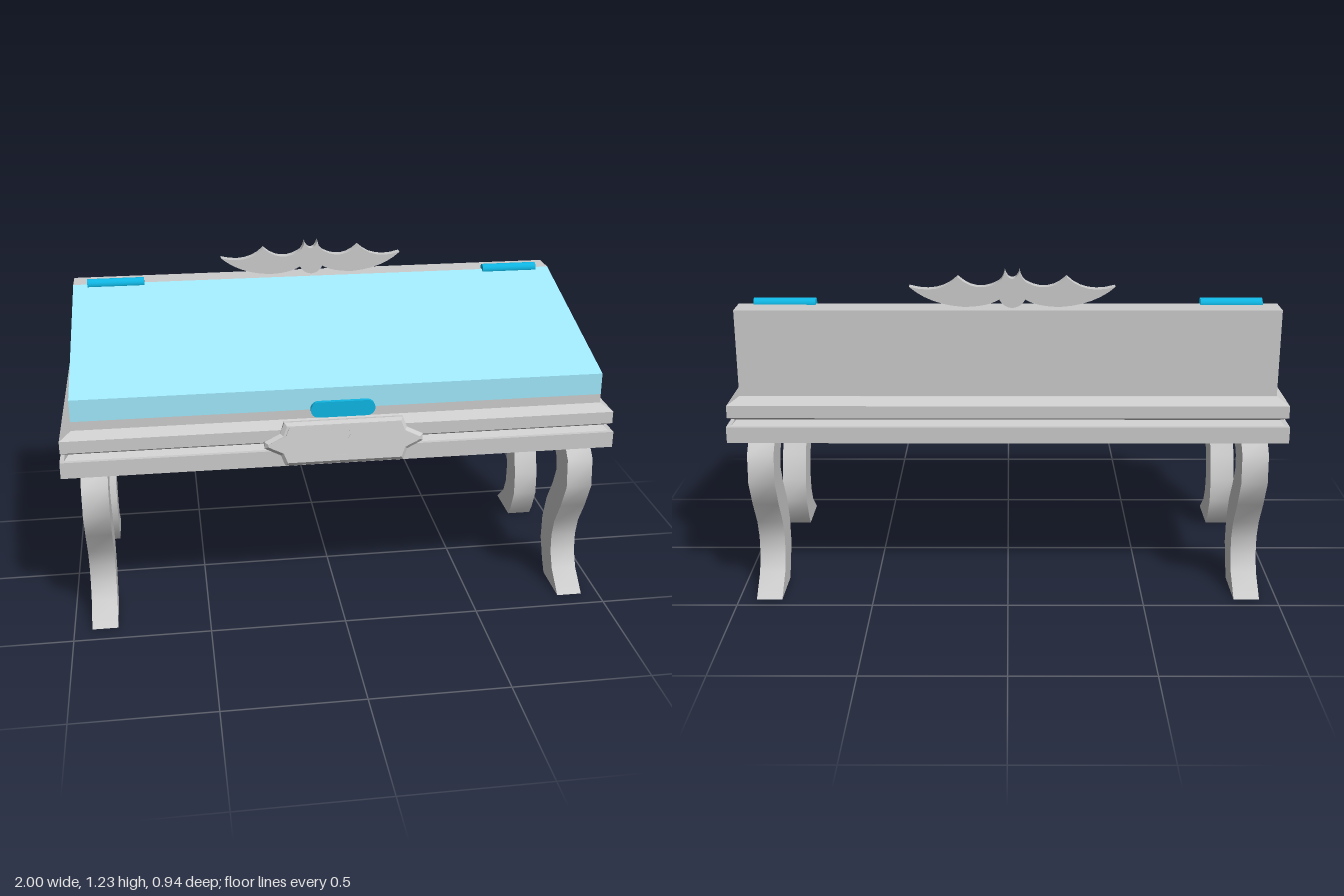
import * as THREE from 'three';
import { toCreasedNormals } from 'three/addons/utils/BufferGeometryUtils.js';

const grey = new THREE.MeshStandardMaterial({ color: 0xcccccc });
const glass = new THREE.MeshStandardMaterial({ color: 0x9fe8fb });
const blue = new THREE.MeshStandardMaterial({ color: 0x0fb6e3 });

const polygon = (pts) => new THREE.Shape(pts.map(([x, y]) => new THREE.Vector2(x, y)));

function extrude(shape, depth, options = {}) {
  const geo = new THREE.ExtrudeGeometry(shape, { depth, bevelEnabled: false, curveSegments: 8, ...options });
  return geo.translate(0, 0, -depth / 2);
}

// Side profile given as (z, y), extruded across x
const extrudeAcross = (pts, width) => extrude(polygon(pts), width).rotateY(-Math.PI / 2);

// Stacked rectangles [y, half width, half depth], closed at both ends
function rectLoft(rings) {
  const pos = [];
  const corner = ([y, w, d], i) => [[w, y, d], [w, y, -d], [-w, y, -d], [-w, y, d]][i % 4];
  const quad = (a, b, c, d) => pos.push(...a, ...b, ...c, ...a, ...c, ...d);
  for (let r = 0; r < rings.length - 1; r++) {
    for (let i = 0; i < 4; i++) {
      quad(corner(rings[r], i), corner(rings[r], i + 1), corner(rings[r + 1], i + 1), corner(rings[r + 1], i));
    }
  }
  const lo = rings[0], hi = rings[rings.length - 1];
  quad(corner(lo, 3), corner(lo, 2), corner(lo, 1), corner(lo, 0));
  quad(corner(hi, 0), corner(hi, 1), corner(hi, 2), corner(hi, 3));
  const geo = new THREE.BufferGeometry();
  geo.setAttribute('position', new THREE.Float32BufferAttribute(pos, 3));
  geo.computeVertexNormals();
  return geo;
}

export function createModel() {
  const model = new THREE.Group();
  model.name = 'displayCase';

  const add = (name, geo, mat, x = 0, y = 0, z = 0, parent = model) => {
    const mesh = new THREE.Mesh(geo, mat);
    mesh.name = name;
    mesh.position.set(x, y, z);
    parent.add(mesh);
    return mesh;
  };

  // Moulded table frame with a V groove and a bevelled top
  add('tableFrame', rectLoft([
    [0.625, 1, 0.455], [0.685, 1, 0.455], [0.685, 0.985, 0.44], [0.703, 0.968, 0.423],
    [0.715, 0.997, 0.443], [0.76, 0.997, 0.443], [0.787, 0.955, 0.412],
  ]), grey, 0, 0, -0.012);

  // Case back and sill, with the sloping glass in front
  add('caseBody', extrudeAcross([
    [0.4, 0.785], [0.4, 0.82], [-0.32, 0.82], [-0.32, 1.1], [-0.42, 1.1], [-0.42, 0.785],
  ], 1.91), grey);
  add('glassLid', extrudeAcross([
    [0.4, 0.82], [0.4, 0.9], [-0.32, 1.1], [-0.32, 0.82],
  ], 1.91), glass);

  // Hinges
  for (const side of [1, -1]) {
    add('hinge', new THREE.CylinderGeometry(0.021, 0.021, 0.22, 16).rotateZ(Math.PI / 2), blue, side * 0.79, 1.1, -0.32);
  }

  // Rounded lid handle
  const grip = new THREE.Shape();
  grip.absarc(0.087, 0, 0.029, -Math.PI / 2, Math.PI / 2, false);
  grip.absarc(-0.087, 0, 0.029, Math.PI / 2, Math.PI * 1.5, false);
  add('lidHandle', toCreasedNormals(extrude(grip, 0.03), 0.6), blue, 0, 0.822, 0.401);

  // Cabriole legs, the rear pair mirrored
  const legProfile = [
    [0.375, 0.627], [0.427, 0.573], [0.438, 0.467], [0.388, 0.365], [0.33, 0.27], [0.31, 0.2],
    [0.314, 0.13], [0.343, 0.07], [0.43, 0], [0.25, 0], [0.22, 0.045], [0.183, 0.127], [0.186, 0.222],
    [0.22, 0.32], [0.277, 0.41], [0.31, 0.483], [0.3, 0.53], [0.257, 0.58], [0.176, 0.627],
  ];
  for (const [name, profile] of [
    ['frontLeg', legProfile],
    ['rearLeg', legProfile.map(([z, y]) => [-z - 0.024, y])],
  ]) {
    const geo = toCreasedNormals(extrudeAcross(profile, 0.095), 0.8);
    for (const side of [1, -1]) add(name, geo, grey, side * 0.888);
  }

  // Tilted lock plate: bevelled backing and a face pierced by the keyhole
  const lock = new THREE.Group();
  lock.name = 'lockPlate';
  lock.position.set(0, 0.709, 0.44);
  lock.rotation.x = -0.15;
  model.add(lock);
  const quarter = [[0.285, 0.012], [0.228, 0.04], [0.213, 0.079]];
  const outline = [
    ...quarter,
    ...quarter.map(([x, y]) => [-x, y]).reverse(),
    ...quarter.map(([x, y]) => [-x, -y]),
    ...quarter.map(([x, y]) => [x, -y]).reverse(),
  ];
  add('lockBacking', extrude(polygon(outline), 0.016, {
    bevelEnabled: true, bevelThickness: 0.012, bevelSize: 0.012, bevelOffset: -0.012, bevelSegments: 1,
  }), grey, 0, 0, -0.005, lock);
  const face = polygon(outline.map(([x, y]) => [x * 0.92, y * 0.82]));
  const keyhole = new THREE.Path();
  keyhole.absarc(0, 0.032, 0.021, -Math.PI * 0.35, Math.PI * 1.35, false);
  for (const [x, y] of [
    [-0.009, 0], [-0.034, 0], [-0.034, -0.013], [-0.022, -0.013], [-0.022, -0.025],
    [-0.034, -0.025], [-0.034, -0.045], [0.009, -0.045],
  ]) keyhole.lineTo(x, y);
  keyhole.closePath();
  face.holes.push(keyhole);
  add('lockFace', toCreasedNormals(extrude(face, 0.01), 0.5), grey, 0, 0, 0.014, lock);

  // Winged crest on the back rail, built from one half and its mirror
  const crest = new THREE.Shape();
  crest.moveTo(0, 0);
  crest.quadraticCurveTo(0.03, 0.002, 0.045, 0.03);
  crest.quadraticCurveTo(0.09, 0.004, 0.17, 0.004);
  crest.quadraticCurveTo(0.29, 0.012, 0.36, 0.076);
  crest.quadraticCurveTo(0.255, 0.045, 0.19, 0.11);
  crest.quadraticCurveTo(0.125, 0.048, 0.048, 0.092);
  crest.quadraticCurveTo(0.03, 0.105, 0.026, 0.134);
  crest.quadraticCurveTo(0.018, 0.105, 0, 0.104);
  const half = crest.getPoints(6);
  const whole = new THREE.Shape([...half, ...half.slice(1, -1).reverse().map((p) => new THREE.Vector2(-p.x, p.y))]);
  add('crest', toCreasedNormals(extrude(whole, 0.034), 0.6), grey, -0.015, 1.1, -0.37);

  return model;
}
